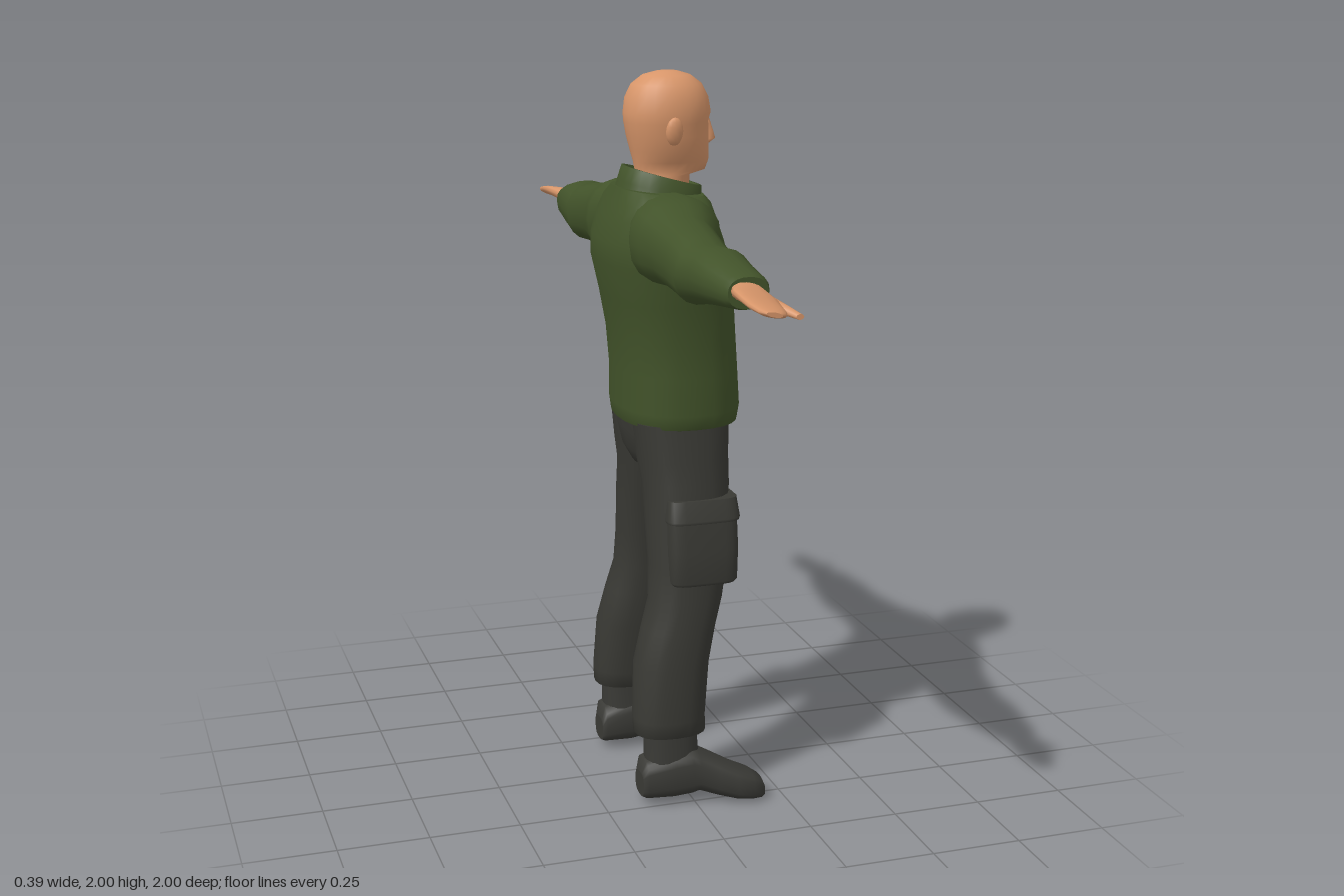
import * as THREE from 'three';

const mat = (name, color) => {
  const m = new THREE.MeshStandardMaterial({ color });
  m.name = name;
  return m;
};

// Superellipse: e = 2 is round, larger is squarer.
const sup = (t, e) => Math.sign(t) * Math.pow(Math.abs(t), 2 / e);

// Smooth skin over closed rings, with flat end caps.
function loft(rings) {
  const n = rings[0].length, pos = [], idx = [];
  rings.forEach(r => r.forEach(p => pos.push(...p)));
  for (let j = 0; j < rings.length - 1; j++) for (let i = 0; i < n; i++) {
    const a = j * n + i, b = j * n + (i + 1) % n;
    idx.push(a, a + n, b, b, a + n, b + n);
  }
  [rings[0], rings[rings.length - 1]].forEach((r, end) => {
    const base = pos.length / 3;
    r.forEach(p => pos.push(...p));
    for (let i = 1; i < n - 1; i++) {
      if (end) idx.push(base, base + i + 1, base + i);
      else idx.push(base, base + i, base + i + 1);
    }
  });
  const g = new THREE.BufferGeometry();
  g.setAttribute('position', new THREE.Float32BufferAttribute(pos, 3));
  g.setIndex(idx);
  g.computeVertexNormals();
  return g;
}

// Rows are [station, u0, u1, v0, v1, tilt]; the axis picks how they map to x, y, z.
function body(axis, rows, e = 2.3, n = 20) {
  return loft(rows.map(([s, u0, u1, v0, v1, tilt = 0]) => {
    const ring = [];
    for (let i = 0; i < n; i++) {
      const a = (i / n) * Math.PI * 2;
      const du = sup(Math.cos(a), e) * (u1 - u0) / 2, dv = sup(Math.sin(a), e) * (v1 - v0) / 2;
      const u = (u0 + u1) / 2 + du, v = (v0 + v1) / 2;
      if (axis === 'y') ring.push([u, s + tilt * du, v + dv]);
      else if (axis === 'z') ring.push([u, v - dv + tilt * du, s]);
      else ring.push([s, v + dv, u]);
    }
    return ring;
  }));
}

// Reflects a geometry across the body's middle plane.
function mirrored(geo) {
  const g = geo.clone().scale(1, 1, -1);
  const ix = g.index.array;
  for (let i = 0; i < ix.length; i += 3) [ix[i + 1], ix[i + 2]] = [ix[i + 2], ix[i + 1]];
  g.computeVertexNormals();
  return g;
}

export function createModel() {
  const model = new THREE.Group();
  model.name = 'standingMan';
  const skin = mat('skin', 0xd8966a);
  const jacket = mat('jacketGreen', 0x42532a);
  const cloth = mat('trouserCharcoal', 0x393934);
  const leather = mat('bootCharcoal', 0x3a3a36);

  const add = (name, geo, material) => {
    const m = new THREE.Mesh(geo, material);
    m.name = name;
    model.add(m);
  };
  const pair = (name, geo, material) => {
    add(name + 'A', geo, material);
    add(name + 'B', mirrored(geo), material);
  };
  const sym = rows => rows.map(([y, x0, x1, hz, t]) => [y, x0, x1, -hz, hz, t]);

  // Head and neck, facing +x
  add('head', body('y', sym([
    [1.64, -0.085, 0.055, 0.065], [1.725, -0.088, 0.06, 0.067],
    [1.735, -0.09, 0.104, 0.06], [1.76, -0.094, 0.113, 0.072],
    [1.79, -0.102, 0.113, 0.086], [1.83, -0.112, 0.112, 0.096],
    [1.865, -0.118, 0.11, 0.1], [1.89, -0.12, 0.117, 0.103],
    [1.93, -0.115, 0.11, 0.099], [1.965, -0.098, 0.092, 0.083],
    [1.988, -0.068, 0.062, 0.057], [1.998, -0.03, 0.028, 0.026], [2, -0.008, 0.008, 0.007],
  ]), 2.1, 24), skin);
  add('nose', body('y', sym([
    [1.803, 0.09, 0.118, 0.014], [1.815, 0.09, 0.136, 0.018],
    [1.835, 0.09, 0.13, 0.013], [1.88, 0.09, 0.115, 0.008],
  ]), 2, 8), skin);
  const ear = new THREE.SphereGeometry(1, 12, 8);
  ear.scale(0.024, 0.038, 0.014).rotateX(0.15).translate(-0.012, 1.848, 0.102);
  pair('ear', ear, skin);

  // Jacket with a sloping collar
  add('jacketBody', body('y', sym([
    [1.058, -0.135, 0.165, 0.2], [1.062, -0.145, 0.18, 0.212], [1.1, -0.15, 0.186, 0.217],
    [1.2, -0.15, 0.18, 0.215], [1.3, -0.158, 0.173, 0.218], [1.4, -0.175, 0.165, 0.232],
    [1.5, -0.196, 0.149, 0.248], [1.56, -0.194, 0.132, 0.25], [1.62, -0.176, 0.11, 0.245],
    [1.66, -0.16, 0.097, 0.22], [1.685, -0.146, 0.09, 0.15, -0.1],
  ]), 2.4, 28), jacket);
  add('collar', body('y', sym([
    [1.64, -0.15, 0.095, 0.13, -0.15], [1.685, -0.135, 0.09, 0.112, -0.25],
    [1.722, -0.122, 0.09, 0.108, -0.28], [1.722, -0.108, 0.076, 0.092, -0.28],
    [1.69, -0.1, 0.068, 0.082, -0.28],
  ]), 2.2, 24), jacket);

  // Outstretched sleeves, with a fold at the elbow
  pair('sleeve', body('z', [
    [0.1, -0.14, 0.07, 1.5, 1.69], [0.2, -0.168, 0.085, 1.46, 1.692],
    [0.25, -0.16, 0.062, 1.465, 1.682], [0.32, -0.148, 0.035, 1.475, 1.66],
    [0.42, -0.145, 0.022, 1.472, 1.645], [0.5, -0.146, 0.012, 1.466, 1.634],
    [0.515, -0.146, 0.026, 1.472, 1.618], [0.6, -0.14, 0.02, 1.486, 1.626],
    [0.68, -0.128, 0.012, 1.496, 1.61], [0.76, -0.108, 0.012, 1.503, 1.592],
    [0.778, -0.1, 0.004, 1.508, 1.586],
  ], 2.3, 18), jacket);

  // Mitten-like hands with a separate thumb
  pair('hand', body('z', [
    [0.75, -0.085, -0.012, 1.522, 1.574], [0.8, -0.098, -0.004, 1.527, 1.572, -0.2],
    [0.85, -0.116, 0.004, 1.53, 1.567, -0.3], [0.9, -0.118, -0.006, 1.532, 1.562, -0.3],
    [0.95, -0.113, -0.016, 1.53, 1.556, -0.25], [0.985, -0.1, -0.03, 1.53, 1.55, -0.2],
    [1, -0.085, -0.045, 1.534, 1.546, -0.2],
  ], 2.2, 14), skin);
  pair('thumb', body('z', [
    [0.81, -0.05, 0, 1.522, 1.552], [0.84, -0.03, 0.018, 1.512, 1.54],
    [0.87, 0.004, 0.032, 1.506, 1.528], [0.9, 0.026, 0.046, 1.502, 1.516],
  ], 2, 10), skin);

  // Trousers
  add('hips', body('y', sym([
    [0.895, -0.04, 0.06, 0.03], [0.93, -0.095, 0.122, 0.1], [0.97, -0.115, 0.132, 0.175],
    [1.03, -0.128, 0.137, 0.198], [1.1, -0.13, 0.14, 0.198],
  ]), 2.5, 24), cloth);
  pair('trouserLeg', body('y', [
    [0.212, -0.145, 0.03, 0.135, 0.265], [0.206, -0.158, 0.042, 0.12, 0.278],
    [0.25, -0.16, 0.04, 0.115, 0.281], [0.4, -0.152, 0.055, 0.096, 0.272],
    [0.5, -0.127, 0.076, 0.09, 0.263], [0.58, -0.104, 0.098, 0.082, 0.255],
    [0.68, -0.1, 0.116, 0.065, 0.247], [0.8, -0.103, 0.126, 0.035, 0.238],
    [0.9, -0.104, 0.132, 0.004, 0.226], [0.97, -0.116, 0.134, -0.005, 0.213],
    [1.07, -0.128, 0.138, -0.005, 0.2],
  ], 2.4), cloth);

  // Cargo pockets on the outer thighs
  pair('cargoPocket', body('y', [
    [0.635, -0.06, 0.12, 0.145, 0.258], [0.645, -0.067, 0.126, 0.14, 0.267],
    [0.73, -0.07, 0.13, 0.13, 0.264], [0.82, -0.07, 0.13, 0.12, 0.25],
  ], 4.5, 24), cloth);
  pair('pocketFlap', body('y', [
    [0.81, -0.072, 0.134, 0.12, 0.258], [0.818, -0.074, 0.136, 0.12, 0.26],
    [0.87, -0.068, 0.132, 0.11, 0.238],
  ], 4.5, 24), cloth);

  // Boots, toes turned outwards
  pair('bootShaft', body('y', [
    [0.05, -0.135, 0.02, 0.148, 0.272], [0.12, -0.132, 0.022, 0.15, 0.268],
    [0.24, -0.135, 0.012, 0.155, 0.265],
  ]), leather);
  pair('bootFoot', body('x', [
    [-0.146, 0.165, 0.245, 0.022, 0.09], [-0.135, 0.15, 0.265, 0.018, 0.13],
    [-0.06, 0.142, 0.278, 0.016, 0.155], [-0.01, 0.144, 0.284, 0.022, 0.162],
    [0.01, 0.148, 0.286, 0.03, 0.15], [0.06, 0.165, 0.302, 0.016, 0.125],
    [0.11, 0.185, 0.318, 0.006, 0.1], [0.155, 0.205, 0.32, 0.002, 0.082],
    [0.185, 0.225, 0.305, 0, 0.062], [0.195, 0.24, 0.292, 0.004, 0.04],
  ], 2.9), leather);

  return model;
}
